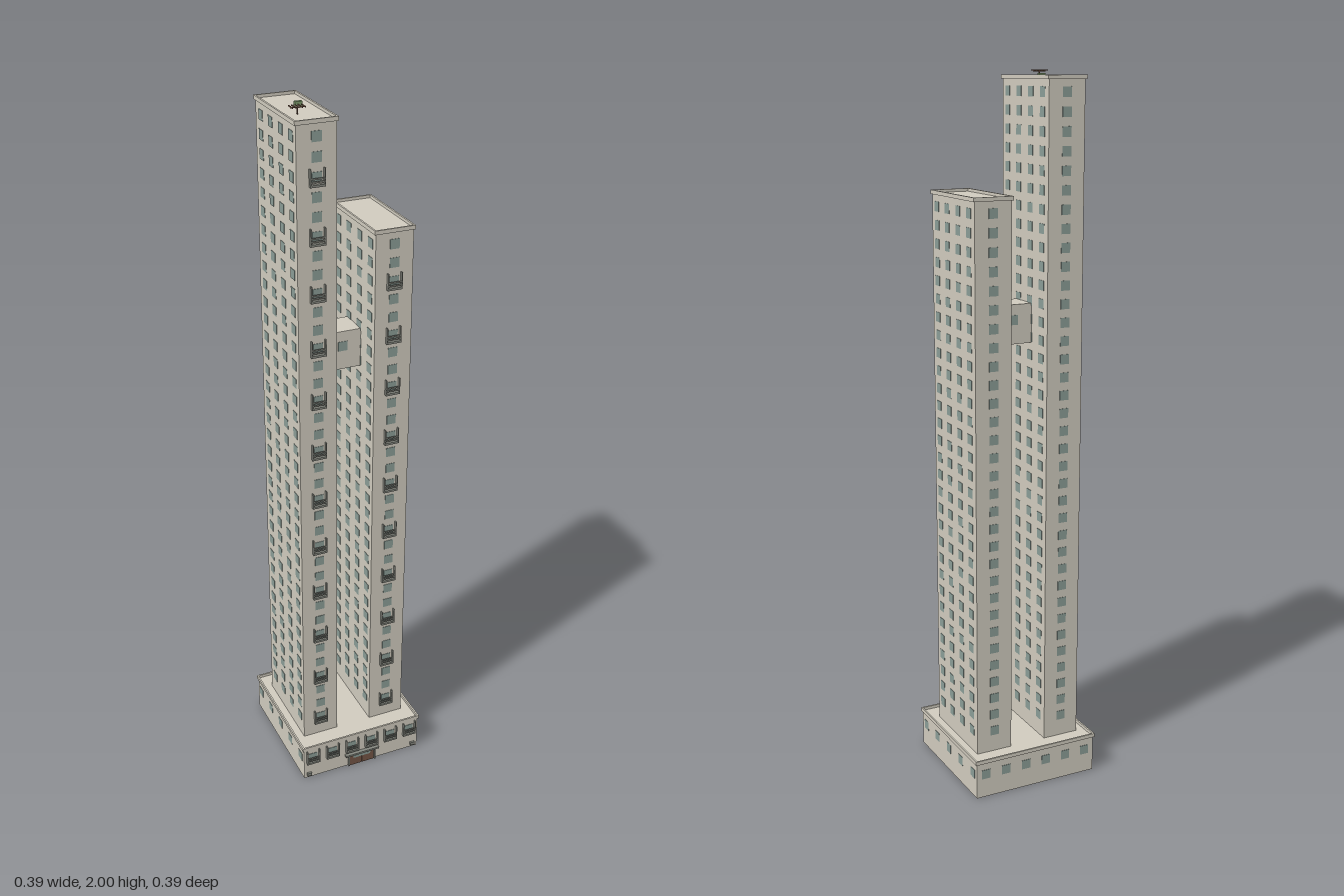
import * as THREE from 'three';
import { mergeGeometries } from 'three/addons/utils/BufferGeometryUtils.js';

const paint = (color) => new THREE.MeshStandardMaterial({ color });
const WALL = paint(0xd0cbbe), GLASS = paint(0x8a9c96), RAIL = paint(0x85877f);
const WOOD = paint(0x735545), GREEN = paint(0x7b9a6a);

// Box from its lower and upper corners
function span(x0, x1, y0, y1, z0, z1) {
  return new THREE.BoxGeometry(x1 - x0, y1 - y0, z1 - z0)
    .translate((x0 + x1) / 2, (y0 + y1) / 2, (z0 + z1) / 2);
}

function add(group, name, material, boxes) {
  const mesh = new THREE.Mesh(mergeGeometries(boxes), material);
  mesh.name = name;
  group.add(mesh);
}

// Raised rim around a flat roof
function parapet(x0, x1, y0, y1, z0, z1, t = 0.005) {
  return [
    span(x0, x1, y0, y1, z0, z0 + t), span(x0, x1, y0, y1, z1 - t, z1),
    span(x0, x0 + t, y0, y1, z0 + t, z1 - t), span(x1 - t, x1, y0, y1, z0 + t, z1 - t),
  ];
}

// Thin panes, one facing along z and one facing along x
const W = 0.0135, PROUD = 0.0012;
const paneZ = (x, y, z) => span(x - W, x + W, y - W, y + W, z - PROUD, z + PROUD);
const paneX = (x, y, z) => span(x - PROUD, x + PROUD, y - W, y + W, z - W, z + W);

// Shallow balcony: floor, two tall sides, and a railing of bars
function balcony(x, y, z) {
  const h = 0.021, d = 0.009, t = 0.003, y0 = y - 0.023;
  const parts = [span(x - h, x + h, y0, y0 + 0.006, z, z + d)];
  for (const s of [-1, 1]) {
    const c = x + s * (h - t / 2);
    parts.push(span(c - t / 2, c + t / 2, y0, y0 + 0.046, z, z + d));
  }
  for (const dy of [0.011, 0.019])
    parts.push(span(x - h, x + h, y0 + dy, y0 + dy + 0.004, z + d - t, z + d));
  return parts;
}

const FLOOR = 0.0507, FIRST = 0.17;

function tower(name, cx, top, floors, balconies) {
  const g = new THREE.Group();
  g.name = name;
  const x0 = cx - 0.054, x1 = cx + 0.054, z0 = -0.141, z1 = 0.125;
  add(g, 'towerWalls', WALL, [span(x0, x1, 0.1, top - 0.008, z0, z1)]);
  add(g, 'towerParapet', WALL, parapet(x0 - 0.004, x1 + 0.004, top - 0.011, top, z0 - 0.004, z1 + 0.003));
  const panes = [], rails = [];
  for (let i = 0; i < floors; i++) {
    const y = FIRST + i * FLOOR;
    panes.push(paneZ(cx, y, z0), paneZ(cx, y, z1));
    for (const z of [-0.106, -0.04, 0.028, 0.094]) panes.push(paneX(x0, y, z), paneX(x1, y, z));
  }
  for (let i = 0; i < balconies; i++) rails.push(...balcony(cx, FIRST + i * 3 * FLOOR, z1));
  add(g, 'towerWindows', GLASS, panes);
  add(g, 'towerBalconies', RAIL, rails);
  return g;
}

function podium() {
  const g = new THREE.Group();
  g.name = 'podium';
  const x = 0.189, z0 = -0.194, z1 = 0.185;
  add(g, 'podiumWalls', WALL, [span(-x, x, 0, 0.107, z0, z1)]);
  add(g, 'podiumParapet', WALL, parapet(-x - 0.004, x + 0.004, 0.105, 0.116, z0 - 0.004, z1 + 0.003));
  const panes = [], rails = [];
  for (let i = 0; i < 6; i++) {
    const px = -0.16 + i * 0.064;
    panes.push(paneZ(px, 0.075, z1), paneZ(px, 0.07, z0));
    rails.push(...balcony(px, 0.077, z1));
  }
  for (let i = 0; i < 5; i++) {
    const pz = 0.157 - i * 0.081;
    panes.push(paneX(-x, 0.07, pz), paneX(x, 0.07, pz));
  }
  add(g, 'podiumWindows', GLASS, panes);
  add(g, 'podiumBalconies', RAIL, rails);

  // Entrance with double doors, canopy and low lamps at the corners
  add(g, 'entranceDoors', WOOD, [
    span(-0.04, -0.001, 0, 0.038, z1, z1 + 0.004), span(0.001, 0.04, 0, 0.038, z1, z1 + 0.004),
  ]);
  add(g, 'doorGlass', GLASS, [span(-0.028, 0.028, 0.026, 0.034, z1 + 0.003, z1 + 0.005)]);
  add(g, 'entranceCanopy', RAIL, [
    span(-0.055, 0.055, 0.04, 0.046, z1, z1 + 0.011),
    span(-0.045, -0.041, 0, 0.04, z1, z1 + 0.007), span(0.041, 0.045, 0, 0.04, z1, z1 + 0.007),
  ]);
  add(g, 'cornerLamps', RAIL, [-1, 1].map((s) =>
    span(s * 0.173 - 0.007, s * 0.173 + 0.007, 0.008, 0.018, z1, z1 + 0.006)));
  return g;
}

// Enclosed walkway joining the towers
function bridge() {
  const g = new THREE.Group();
  g.name = 'skyBridge';
  add(g, 'bridgeWalls', WALL, [span(-0.06, 0.06, 1.27, 1.38, -0.049, 0.039)]);
  add(g, 'bridgeWindows', GLASS, [paneZ(0, 1.337, 0.039), paneZ(0, 1.337, -0.049)]);
  return g;
}

// Aerial and vent box on the tall roof
function roofGear() {
  const g = new THREE.Group();
  g.name = 'roofGear';
  const bars = [span(-0.143, -0.106, 1.995, 1.997, 0.043, 0.045), span(-0.126, -0.123, 1.975, 1.997, 0.0425, 0.0455)];
  for (let i = 0; i < 5; i++) {
    const x = -0.142 + i * 0.0085;
    bars.push(span(x - 0.001, x + 0.001, 1.997, 2, 0.029, 0.058));
  }
  add(g, 'aerial', WOOD, bars);
  add(g, 'ventBox', GREEN, [span(-0.103, -0.083, 1.975, 1.991, -0.033, -0.023)]);
  return g;
}

export function createModel() {
  const model = new THREE.Group();
  model.name = 'twinTowerBlock';
  model.add(
    podium(),
    tower('tallTower', -0.109, 1.987, 36, 12),
    tower('shortTower', 0.107, 1.683, 30, 10),
    bridge(),
    roofGear(),
  );
  return model;
}
